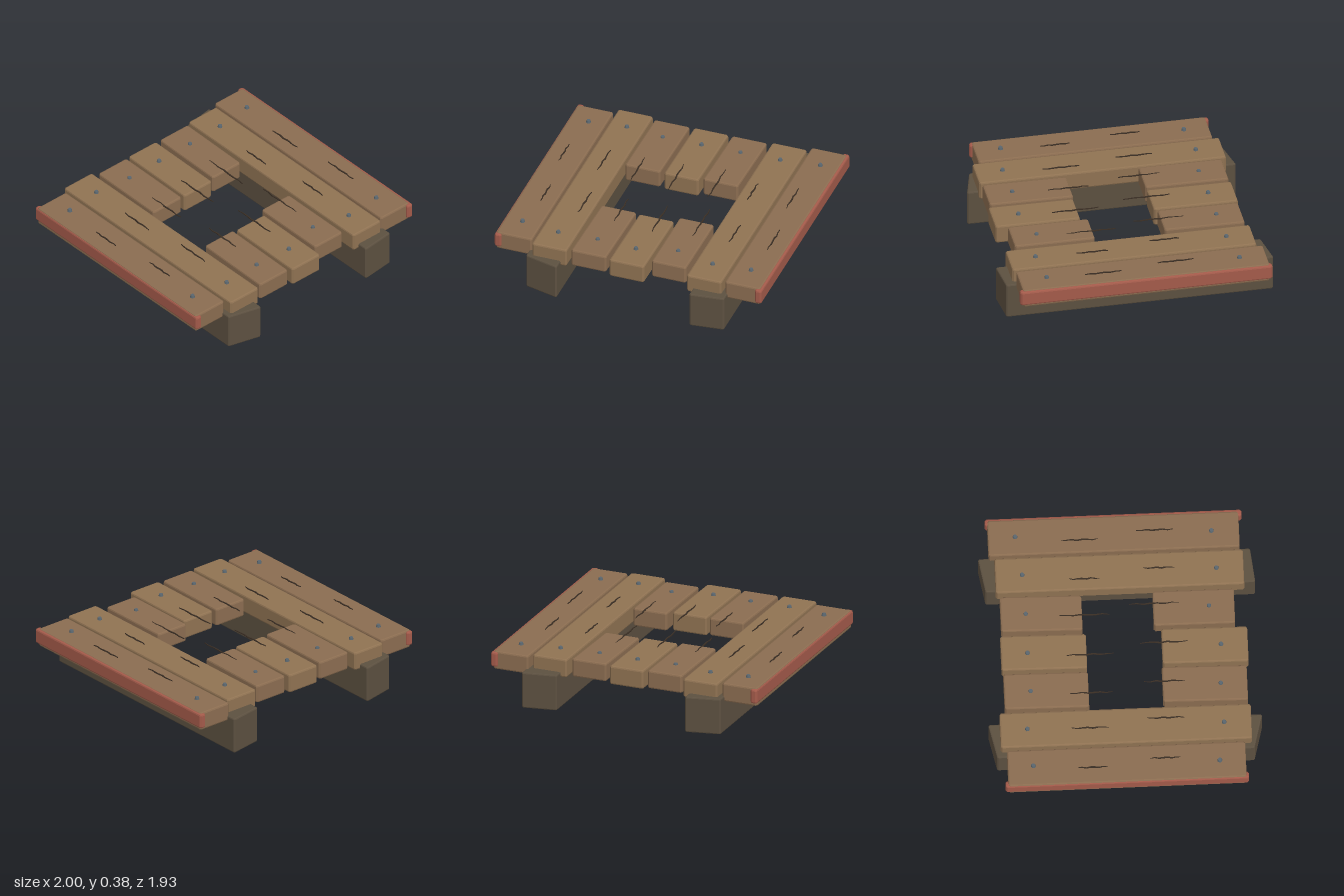
import * as THREE from 'three';

const paint = (color) => new THREE.MeshStandardMaterial({ color, flatShading: true });

// Bevelled slab over a four-sided plan; corners are [x, z], listed back-left, front-left, front-right, back-right
function slab(corners, y0, y1, bevel) {
  const pts = corners.map(([x, z]) => new THREE.Vector2(x, -z));
  const mid = pts.reduce((s, p) => s.add(p), new THREE.Vector2()).multiplyScalar(0.25);
  const inset = pts.map((p) => new THREE.Vector2(
    p.x - Math.sign(p.x - mid.x) * bevel, p.y - Math.sign(p.y - mid.y) * bevel));
  // clip each corner a little
  const outline = [];
  inset.forEach((p, i) => {
    for (const q of [inset[(i + 3) % 4], inset[(i + 1) % 4]]) {
      outline.push(p.clone().add(q.clone().sub(p).setLength(bevel * 0.4)));
    }
  });
  const geo = new THREE.ExtrudeGeometry(new THREE.Shape(outline), {
    depth: y1 - y0 - 2 * bevel, bevelEnabled: true, bevelThickness: bevel,
    bevelSize: bevel, bevelSegments: 2,
  });
  geo.rotateX(-Math.PI / 2);
  geo.translate(0, y0 + bevel, 0);
  return geo;
}

// Plan corners of a board whose front end is shifted sideways by skew
const plan = (x0, x1, z0, z1, skew = 0) =>
  [[x0, z0], [x0 + skew, z1], [x1 + skew, z1], [x1, z0]];

// Thin jagged split in the wood, running along z
function crackGeometry(x, z0, z1, y, phase) {
  const steps = 7, left = [], right = [];
  for (let i = 0; i <= steps; i++) {
    const t = i / steps;
    const cx = x + 0.004 * Math.sin(i * 2.3 + phase);
    const w = 0.0015 + 0.0035 * Math.sin(Math.PI * t);
    const z = z0 + (z1 - z0) * t;
    left.push(new THREE.Vector2(cx - w, -z));
    right.unshift(new THREE.Vector2(cx + w, -z));
  }
  const geo = new THREE.ExtrudeGeometry(new THREE.Shape([...left, ...right]),
    { depth: 0.006, bevelEnabled: false });
  geo.rotateX(-Math.PI / 2);
  geo.translate(0, y, 0);
  return geo;
}

export function createModel() {
  const model = new THREE.Group();
  const woods = [paint(0x8a6c50), paint(0x8f7252)];
  const beamWood = paint(0x5c5040), red = paint(0xa35a4a);
  const iron = paint(0x5a666e), dark = paint(0x3a2e24);

  const add = (name, geo, mat) => {
    const mesh = new THREE.Mesh(geo, mat);
    mesh.name = name;
    model.add(mesh);
    return mesh;
  };

  // Two support beams with slanted ends
  add('rightBeam', slab([[-0.745, -0.9], [-0.745, 0.905], [-0.495, 0.965], [-0.495, -0.95]],
    0, 0.265, 0.01), beamWood);
  add('leftBeam', slab([[0.49, -0.93], [0.49, 0.96], [0.74, 0.935], [0.74, -0.97]],
    0, 0.265, 0.01), beamWood);

  // Deck planks: x0, x1, z0, z1, skew, bottom, top, wood
  const planks = [
    [-0.995, -0.728, -0.83, 0.838, 0.002, 0.225, 0.36, 0],
    [-0.707, -0.448, -0.872, 0.888, -0.001, 0.228, 0.363, 1],
    [0.445, 0.703, -0.858, 0.882, -0.002, 0.228, 0.363, 1],
    [0.723, 0.987, -0.897, 0.862, -0.002, 0.228, 0.362, 0],
    // short planks either side of the opening
    [-0.422, -0.16, -0.832, -0.24, -0.006, 0.235, 0.368, 0],
    [-0.131, 0.125, -0.842, -0.242, -0.007, 0.225, 0.363, 1],
    [0.156, 0.415, -0.833, -0.262, -0.01, 0.235, 0.368, 0],
    [-0.411, -0.151, 0.278, 0.872, -0.01, 0.235, 0.366, 0],
    [-0.126, 0.133, 0.286, 0.888, -0.006, 0.225, 0.363, 1],
    [0.156, 0.412, 0.236, 0.806, -0.002, 0.235, 0.368, 0],
  ];
  planks.forEach(([x0, x1, z0, z1, skew, y0, y1, wood], i) =>
    add(`plank${i + 1}`, slab(plan(x0, x1, z0, z1, skew), y0, y1, 0.012), woods[wood]));

  // Painted strips on the outer edges
  add('rightEdgeStrip', slab(plan(-1, -0.95, -0.85, 0.855), 0.25, 0.354, 0.012), red);
  add('leftEdgeStrip', slab(plan(0.95, 1, -0.914, 0.884), 0.25, 0.357, 0.012), red);

  // Nail heads, x and z
  const nails = [
    [-0.85, -0.65], [-0.575, -0.68], [-0.295, -0.645], [-0.01, -0.655],
    [0.28, -0.655], [0.572, -0.668], [0.857, -0.705],
    [-0.862, 0.655], [-0.58, 0.697], [-0.29, 0.686], [0, 0.7],
    [0.288, 0.628], [0.568, 0.692], [0.846, 0.668],
  ];
  const head = new THREE.CylinderGeometry(0.013, 0.018, 0.02, 10);
  nails.forEach(([x, z], i) =>
    add(`nail${i + 1}`, head, iron).position.set(x, 0.369, z));

  // Cracks: x, z0, z1
  const cracks = [
    [-0.88, -0.34, -0.13], [-0.585, -0.37, -0.11], [-0.325, -0.37, -0.075],
    [-0.04, -0.385, -0.055], [0.255, -0.425, -0.07], [0.525, -0.34, -0.13],
    [0.815, -0.385, -0.13],
    [-0.83, 0.17, 0.38], [-0.532, 0.16, 0.42], [-0.26, 0.15, 0.435],
    [0.03, 0.135, 0.465], [0.32, 0.07, 0.42], [0.585, 0.18, 0.4],
    [0.867, 0.14, 0.4],
  ];
  cracks.forEach(([x, z0, z1], i) =>
    add(`crack${i + 1}`, crackGeometry(x, z0, z1, 0.365, i * 1.7), dark));

  return model;
}
